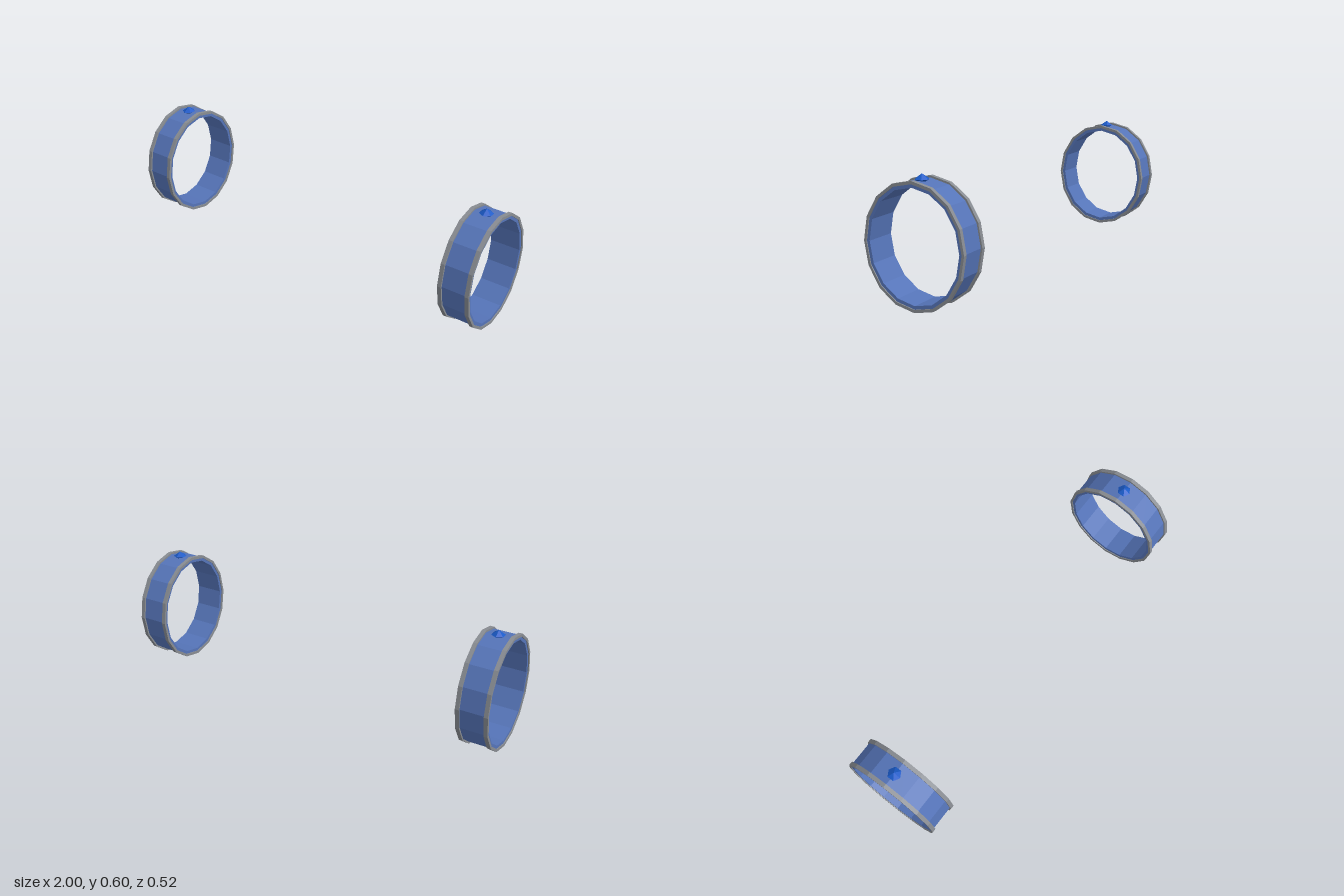
import * as THREE from 'three';

const CENTER_Y = 0.293;

function material(color) {
  return new THREE.MeshStandardMaterial({ color, flatShading: true });
}

// Sixteen-sided hoop of rectangular section around the x axis, narrowed in z
function hoop(name, inner, outer, width, x, mat) {
  const h = width / 2;
  const profile = [[inner, -h], [outer, -h], [outer, h], [inner, h], [inner, -h]]
    .map(([r, y]) => new THREE.Vector2(r, y));
  const geometry = new THREE.LatheGeometry(profile, 16);
  geometry.rotateZ(Math.PI / 2);
  geometry.scale(1, 1, 0.9);
  const mesh = new THREE.Mesh(geometry, mat);
  mesh.name = name;
  mesh.position.x = x;
  return mesh;
}

// Six-sided cut stone: shallow crown above, point set into the band
function gem(mat) {
  const profile = [[0, -0.02], [0.034, 0], [0, 0.024]].map(([r, y]) => new THREE.Vector2(r, y));
  const mesh = new THREE.Mesh(new THREE.LatheGeometry(profile, 6), mat);
  mesh.name = 'gem';
  mesh.position.y = 0.285;
  return mesh;
}

export function createModel() {
  const model = new THREE.Group();
  model.name = 'braceletPair';
  const blue = material(0x5574b8);
  const grey = material(0x888c92);
  const gemBlue = material(0x1a5ac8);

  for (const side of [1, -1]) {
    const bracelet = new THREE.Group();
    bracelet.name = side > 0 ? 'leftBracelet' : 'rightBracelet';
    bracelet.position.set(side * 0.92, CENTER_Y, 0);
    bracelet.add(hoop('band', 0.26, 0.281, 0.15, 0, blue));
    // Raised rims along both edges
    for (const edge of [1, -1]) {
      bracelet.add(hoop('rim', 0.276, 0.29, 0.02, edge * 0.07, grey));
    }
    bracelet.add(gem(gemBlue));
    model.add(bracelet);
  }
  return model;
}
